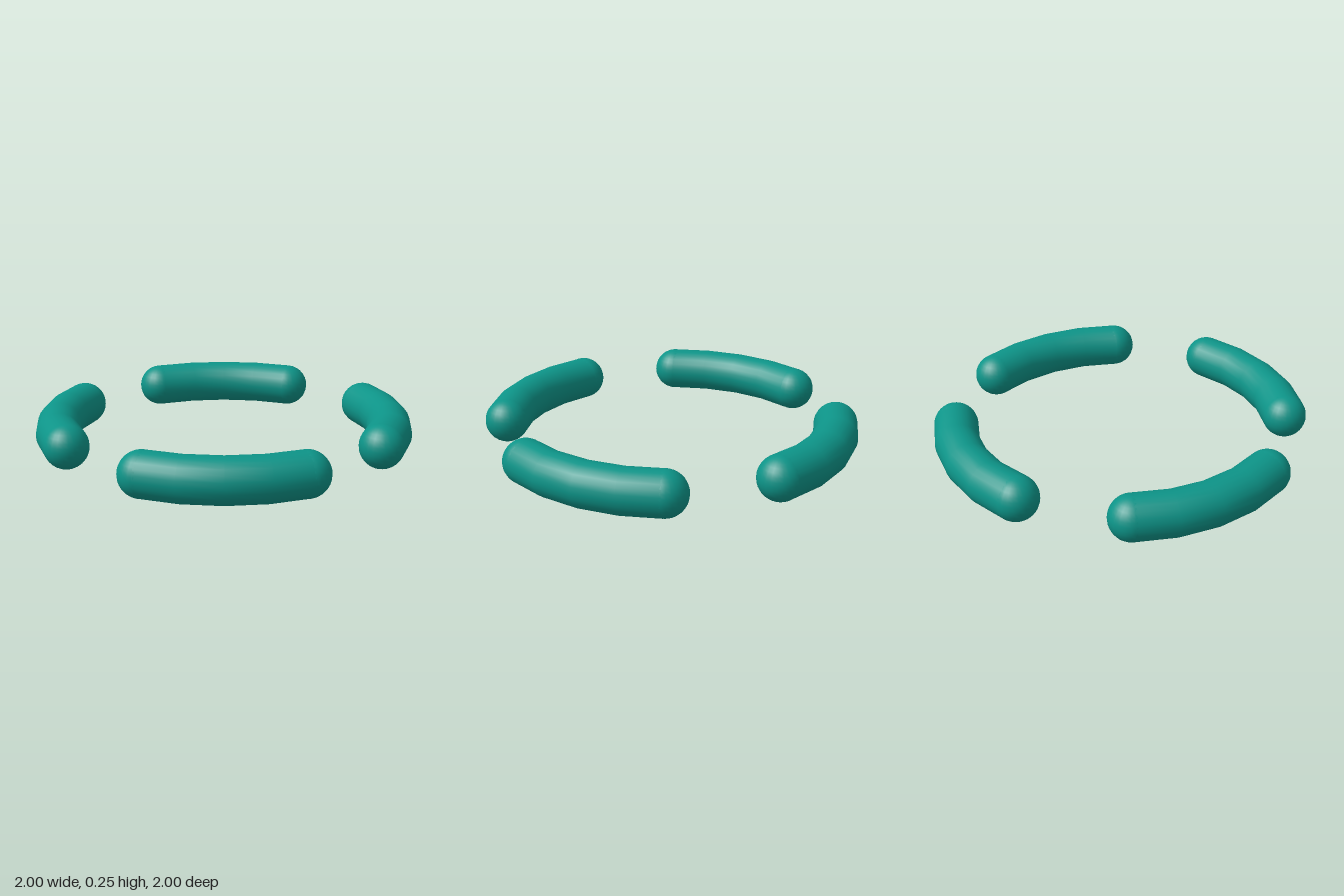
import * as THREE from 'three';

const RING = 0.93;    // radius of the ring centre line
const TUBE = 0.123;   // radius of the round bar
const START = 19;     // degrees from each axis where a bar begins
const SEGMENTS = 4;

export function createModel() {
  const model = new THREE.Group();
  model.name = 'segmentedRing';
  const material = new THREE.MeshStandardMaterial({ color: 0x0d9488 });

  // Centre line of one quarter bar
  const points = [];
  for (let i = 0; i <= SEGMENTS; i++) {
    const a = THREE.MathUtils.degToRad(START + (90 - 2 * START) * i / SEGMENTS);
    points.push(new THREE.Vector3(Math.sin(a) * RING, TUBE, Math.cos(a) * RING));
  }
  const barGeometry = new THREE.TubeGeometry(new THREE.CatmullRomCurve3(points), SEGMENTS, TUBE, 24);
  const capGeometry = new THREE.SphereGeometry(TUBE, 24, 16);

  // Four bars with rounded ends, one per quadrant
  ['frontLeft', 'backLeft', 'backRight', 'frontRight'].forEach((name, i) => {
    const arc = new THREE.Group();
    arc.name = name + 'Arc';
    const bar = new THREE.Mesh(barGeometry, material);
    bar.name = 'curvedBar';
    arc.add(bar);
    for (const end of [points[0], points[SEGMENTS]]) {
      const cap = new THREE.Mesh(capGeometry, material);
      cap.name = 'roundEnd';
      cap.position.copy(end);
      arc.add(cap);
    }
    arc.rotation.y = i * Math.PI / 2;
    model.add(arc);
  });
  return model;
}
